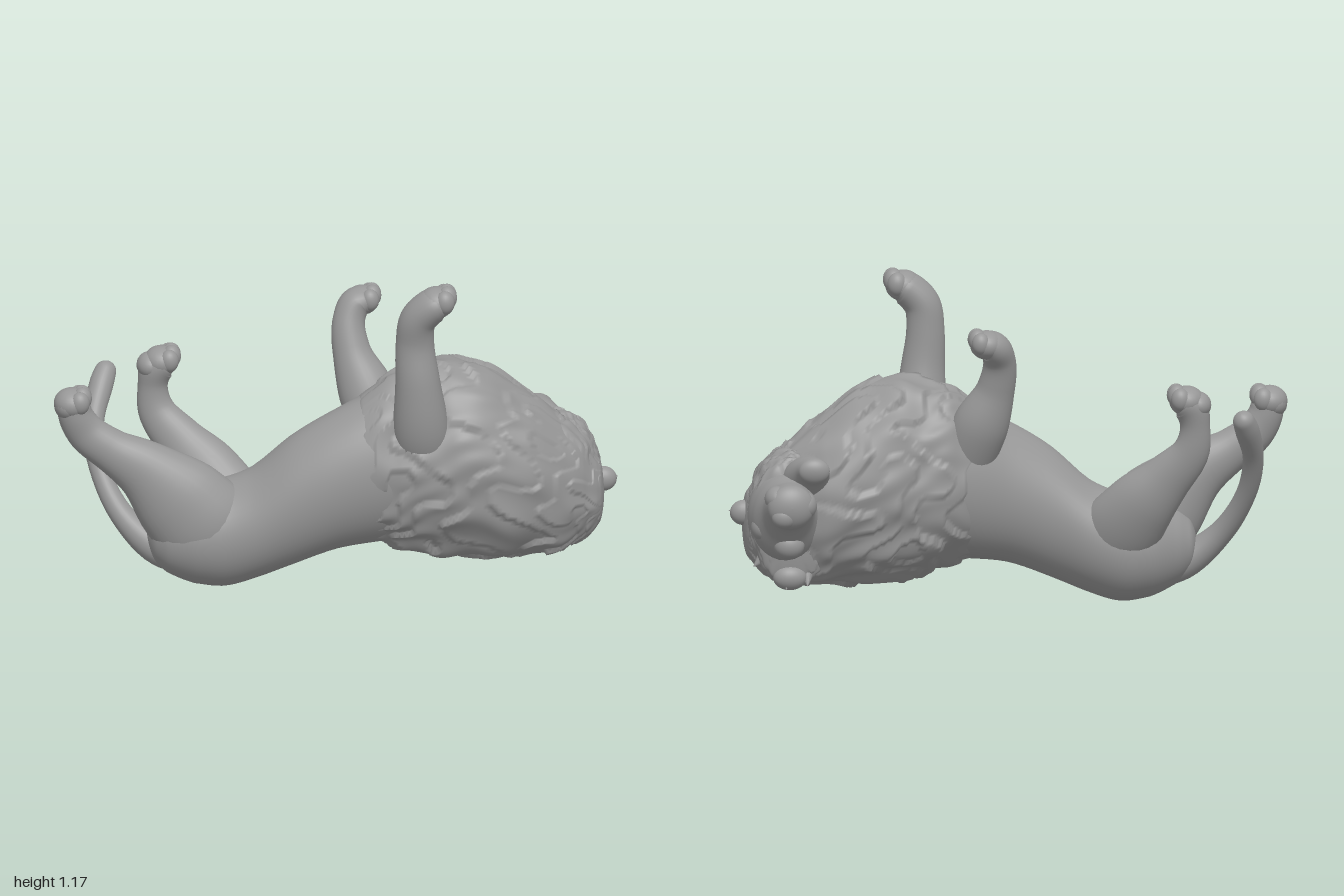
import * as THREE from 'three';

const mat = new THREE.MeshStandardMaterial({ color: 0x979797 });
const X = new THREE.Vector3(1, 0, 0), Z = new THREE.Vector3(0, 0, 1), BACK = new THREE.Vector3(0, 0, -1);

// Rounded loft through points [x, y, z, radiusU, radiusV]; axis fixes the ring direction,
// side is the V direction, bump(t, angle) scales the ring for fur.
function loft(name, pts, { rows = 48, cols = 28, axis = null, side = Z, cap = 0.08, bump = () => 1 } = {}) {
  const path = new THREE.CatmullRomCurve3(pts.map(p => new THREE.Vector3(p[0], p[1], p[2])));
  const size = new THREE.CatmullRomCurve3(pts.map(p => new THREE.Vector3(p[3], p[4] ?? p[3], 0)));
  const pos = [], idx = [];
  for (let i = 0; i <= rows; i++) {
    const t = (1 - Math.cos(Math.PI * i / rows)) / 2;
    const e = Math.min(1, Math.min(t, 1 - t) / cap);
    const round = Math.sqrt(Math.max(0, 1 - (1 - e) ** 2));
    const c = path.getPoint(t), s = size.getPoint(t);
    const T = axis ?? path.getTangent(t);
    const V = side.clone().addScaledVector(T, -T.dot(side)).normalize();
    const U = V.clone().cross(T);
    for (let j = 0; j < cols; j++) {
      const a = j / cols * Math.PI * 2;
      const k = round * bump(t, a);
      const p = c.clone().addScaledVector(U, s.x * k * Math.cos(a)).addScaledVector(V, s.y * k * Math.sin(a));
      pos.push(p.x, p.y, p.z);
      if (i < rows) {
        const n = (j + 1) % cols, r = i * cols, q = r + cols;
        idx.push(r + j, r + n, q + j, r + n, q + n, q + j);
      }
    }
  }
  const g = new THREE.BufferGeometry();
  g.setAttribute('position', new THREE.Float32BufferAttribute(pos, 3));
  g.setIndex(idx);
  g.computeVertexNormals();
  const m = new THREE.Mesh(g, mat);
  m.name = name;
  return m;
}

// Turns side-to-side limits [x, yLow, yHigh, zLow, zHigh] into loft points
const limits = rows => rows.map(([x, a, b, c, d]) => [x, (a + b) / 2, (c + d) / 2, (b - a) / 2, (d - c) / 2]);

function blob(name, p, r) {
  const m = new THREE.Mesh(new THREE.SphereGeometry(1, 24, 16), mat);
  m.name = name;
  m.position.set(...p);
  m.scale.set(...r);
  return m;
}

// Leg ending in a rounded paw with four soft toes
function leg(name, pts, paw, r) {
  const g = new THREE.Group();
  g.name = name;
  g.add(loft(name + 'Limb', pts));
  g.add(blob('paw', paw, [r * 1.15, r, r * 1.25]));
  for (let i = 0; i < 4; i++) {
    const k = (i - 1.5) / 1.5, inner = (1 - Math.abs(k)) * r * 0.25;
    g.add(blob('toe', [paw[0] + r * 0.5 + inner, paw[1] + r * 0.2 + inner, paw[2] + k * r * 0.75], [r * 0.62, r * 0.75, r * 0.55]));
  }
  return g;
}

// Overlapping swept locks, periodic round the ring and fading in at the start and out at the end
function fur(t, a) {
  const fade = Math.min(1, t * 5, (1 - t) * 9);
  const step = t * 7 + 0.5 * Math.sin(5 * a + 9 * t) + 0.35 * Math.sin(9 * a - 14 * t) + 0.2 * Math.sin(3 * a + 31 * t);
  const lock = 1 - (step - Math.floor(step));
  const strand = Math.sin(14 * a + 4 * Math.sin(9 * t + 2 * a) + 2.4 * Math.floor(step));
  const lump = Math.sin(6 * a + 21 * t) * Math.sin(4 * a - 17 * t);
  return 0.98 + fade * (0.045 * lock - 0.01 + 0.02 * strand * lock + 0.025 * lump);
}

export function createModel() {
  const model = new THREE.Group();
  model.name = 'lionOnItsBack';

  // Torso from rump to chest
  model.add(loft('torso', limits([
    [-0.67, 0.13, 0.27, -0.01, 0.13], [-0.6, 0.06, 0.34, -0.06, 0.19], [-0.5, 0.015, 0.38, -0.11, 0.22],
    [-0.4, 0.003, 0.39, -0.12, 0.225], [-0.3, 0.03, 0.43, -0.11, 0.235], [-0.15, 0.09, 0.56, -0.09, 0.255],
    [0, 0.145, 0.65, -0.1, 0.27], [0.15, 0.165, 0.72, -0.14, 0.275], [0.3, 0.18, 0.76, -0.17, 0.27],
    [0.45, 0.25, 0.7, -0.1, 0.2]]), { axis: X, rows: 64, cols: 48, cap: 0.05 }));

  // Shaggy mane round chest and neck, growing out of the torso
  model.add(loft('mane', limits([
    [0.03, 0.17, 0.65, -0.09, 0.26], [0.13, 0.165, 0.735, -0.13, 0.275], [0.22, 0.14, 0.785, -0.17, 0.288],
    [0.32, 0.112, 0.815, -0.19, 0.3], [0.42, 0.095, 0.83, -0.21, 0.305], [0.55, 0.09, 0.78, -0.23, 0.3],
    [0.68, 0.09, 0.69, -0.225, 0.265], [0.79, 0.1, 0.6, -0.18, 0.21], [0.87, 0.135, 0.53, -0.14, 0.15],
    [0.92, 0.18, 0.45, -0.1, 0.11], [0.95, 0.22, 0.41, -0.06, 0.07]]),
    { axis: X, rows: 150, cols: 170, cap: 0.06, bump: fur }));

  // Front legs
  model.add(leg('leftFrontLeg', [
    [0.31, 0.42, 0.13, 0.08, 0.07], [0.295, 0.6, 0.215, 0.1, 0.09], [0.28, 0.8, 0.25, 0.08, 0.072],
    [0.27, 0.95, 0.25, 0.068, 0.06], [0.28, 1.04, 0.26, 0.065, 0.068], [0.33, 1.095, 0.27, 0.062, 0.074],
    [0.37, 1.115, 0.27, 0.045, 0.066]], [0.345, 1.108, 0.27], 0.056));
  model.add(leg('rightFrontLeg', [
    [0.18, 0.45, 0, 0.09, 0.08], [0.12, 0.65, -0.08, 0.1, 0.085], [0.065, 0.8, -0.12, 0.068, 0.06],
    [0.055, 0.9, -0.15, 0.058, 0.055], [0.08, 0.96, -0.18, 0.055, 0.066], [0.13, 0.98, -0.19, 0.042, 0.06]],
    [0.105, 0.97, -0.19], 0.052));

  // Hind legs
  model.add(leg('leftHindLeg', [
    [-0.34, 0.14, 0.06, 0.1, 0.08], [-0.46, 0.235, 0.098, 0.18, 0.122], [-0.56, 0.34, 0.11, 0.165, 0.107],
    [-0.68, 0.45, 0.11, 0.11, 0.08], [-0.8, 0.525, 0.105, 0.077, 0.06], [-0.88, 0.585, 0.1, 0.07, 0.055],
    [-0.92, 0.65, 0.1, 0.062, 0.06], [-0.93, 0.72, 0.1, 0.055, 0.06]], [-0.935, 0.698, 0.1], 0.055));
  model.add(blob('leftHeel', [-0.95, 0.69, 0.1], [0.047, 0.05, 0.064]));
  model.add(leg('rightHindLeg', [
    [-0.3, 0.17, 0.03, 0.1, 0.08], [-0.39, 0.28, -0.05, 0.14, 0.09], [-0.46, 0.38, -0.105, 0.122, 0.082],
    [-0.54, 0.47, -0.145, 0.09, 0.062], [-0.62, 0.57, -0.18, 0.067, 0.05], [-0.635, 0.66, -0.19, 0.053, 0.05],
    [-0.62, 0.73, -0.19, 0.06, 0.064], [-0.58, 0.765, -0.19, 0.045, 0.066]], [-0.605, 0.755, -0.19], 0.054));
  model.add(blob('rightHeel', [-0.645, 0.74, -0.19], [0.047, 0.047, 0.06]));

  // Tail curling up behind the hind legs
  model.add(loft('tail', [
    [-0.5, 0.13, 0.05, 0.09], [-0.62, 0.14, 0.05, 0.066], [-0.75, 0.245, 0.005, 0.043], [-0.83, 0.4, -0.08, 0.036],
    [-0.845, 0.54, -0.16, 0.037], [-0.815, 0.65, -0.24, 0.043], [-0.785, 0.72, -0.295, 0.034]], { cap: 0.06 }));

  // Head turned toward the back, jaw uppermost
  const head = new THREE.Group();
  head.name = 'head';
  head.add(loft('ruff', [
    [0.76, 0.36, 0.14, 0.2, 0.13], [0.775, 0.355, 0.05, 0.23, 0.15], [0.785, 0.35, -0.06, 0.24, 0.155],
    [0.785, 0.345, -0.13, 0.23, 0.15], [0.785, 0.345, -0.18, 0.2, 0.13]],
    { axis: BACK, side: X, rows: 90, cols: 120, cap: 0.16, bump: fur }));
  head.add(loft('face', [
    [0.8, 0.36, 0, 0.16, 0.12], [0.81, 0.36, -0.1, 0.17, 0.135], [0.815, 0.365, -0.18, 0.15, 0.12],
    [0.815, 0.395, -0.24, 0.108, 0.095], [0.815, 0.42, -0.29, 0.082, 0.085], [0.815, 0.425, -0.348, 0.07, 0.075]],
    { axis: BACK, side: X, cap: 0.14 }));
  head.add(loft('lowerJaw', [
    [0.77, 0.45, -0.08, 0.09, 0.08], [0.745, 0.5, -0.17, 0.082, 0.08], [0.73, 0.537, -0.24, 0.052, 0.06],
    [0.725, 0.547, -0.29, 0.038, 0.05]], { axis: BACK, side: X, cap: 0.16 }));
  for (const [name, p, r] of [
    ['nose', [0.84, 0.39, -0.315], [0.045, 0.04, 0.032]],
    ['leftLip', [0.86, 0.45, -0.275], [0.045, 0.045, 0.055]],
    ['rightLip', [0.765, 0.425, -0.28], [0.045, 0.05, 0.055]],
    ['leftBrow', [0.895, 0.33, -0.165], [0.045, 0.05, 0.05]],
    ['rightBrow', [0.81, 0.27, -0.205], [0.055, 0.05, 0.045]],
    ['leftEar', [0.945, 0.355, 0], [0.05, 0.045, 0.036]],
    ['rightEar', [0.8, 0.145, -0.15], [0.06, 0.045, 0.04]],
  ]) head.add(blob(name, p, r));

  // Pointed hair tufts at the ears and crown
  for (const [p, d] of [[[0.965, 0.36, 0], [1, 0.1, 0]], [[0.81, 0.13, -0.155], [0.2, -0.7, -0.7]],
    [[0.9, 0.2, -0.1], [0.6, -0.5, -0.2]], [[0.74, 0.14, -0.15], [0, -0.6, -0.6]]]) {
    const tuft = new THREE.Mesh(new THREE.ConeGeometry(0.035, 0.07, 12), mat);
    tuft.name = 'hairTuft';
    tuft.position.set(...p);
    tuft.quaternion.setFromUnitVectors(new THREE.Vector3(0, 1, 0), new THREE.Vector3(...d).normalize());
    head.add(tuft);
  }
  model.add(head);
  return model;
}
